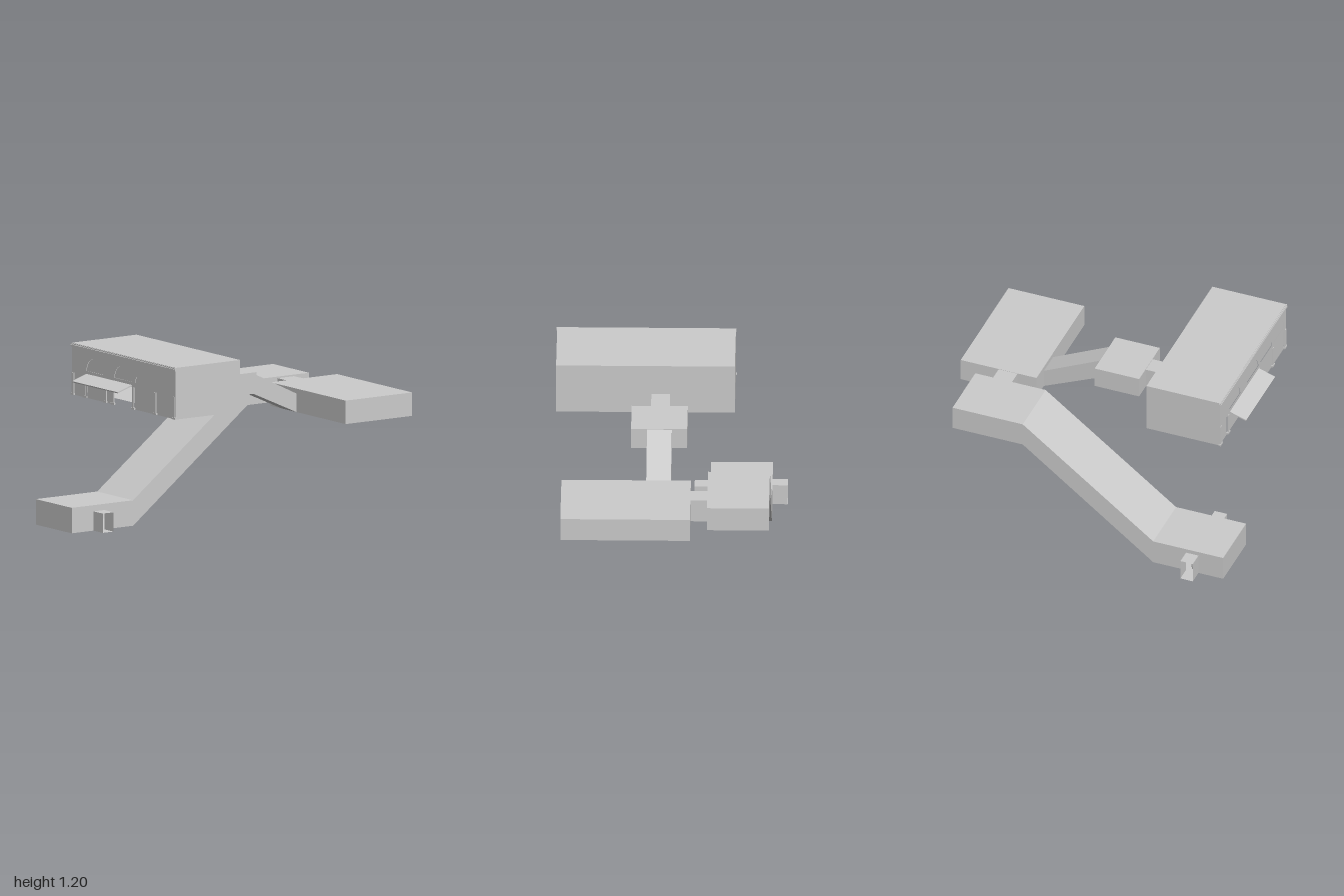
import * as THREE from 'three';

const mat = new THREE.MeshStandardMaterial({ color: 0xcccccc, side: THREE.DoubleSide });

function add(parent, name, geometry, x = 0, y = 0, z = 0) {
  const mesh = new THREE.Mesh(geometry, mat);
  mesh.name = name;
  mesh.position.set(x, y, z);
  parent.add(mesh);
  return mesh;
}

// Rectangle outline with doorways [from, to, top] notched into its lower edge
function wallShape(a0, a1, b0, b1, doors = []) {
  const s = new THREE.Shape();
  s.moveTo(a0, b0);
  for (const [d0, d1, top] of doors) {
    s.lineTo(d0, b0);
    s.lineTo(d0, top);
    s.lineTo(d1, top);
    s.lineTo(d1, b0);
  }
  s.lineTo(a1, b0);
  s.lineTo(a1, b1);
  s.lineTo(a0, b1);
  s.closePath();
  return s;
}

// Thin-walled room; a side set to false is left open, an array lists its doorways
function room(parent, name, [x0, x1], [y0, y1], [z0, z1], sides = {}) {
  const group = new THREE.Group();
  group.name = name;
  parent.add(group);
  const floorFront = sides.floorFront ?? z1;
  const slab = (b1) => new THREE.ShapeGeometry(wallShape(x0, x1, z0, b1)).rotateX(Math.PI / 2);
  add(group, 'floor', slab(floorFront), 0, y0, 0);
  add(group, 'ceiling', slab(z1), 0, y1, 0);
  for (const [side, z] of [['front', z1], ['back', z0]]) {
    if (sides[side] === false) continue;
    add(group, side + 'Wall', new THREE.ShapeGeometry(wallShape(x0, x1, y0, y1, sides[side])), 0, 0, z);
  }
  for (const [side, x] of [['left', x1], ['right', x0]]) {
    const geo = new THREE.ShapeGeometry(wallShape(z0, z1, y0, y1, sides[side])).rotateY(-Math.PI / 2);
    add(group, side + 'Wall', geo, x, 0, 0);
  }
  return group;
}

// Open-ended passage along z between two heights: [z, bottom, top] at each end
function passageZ(parent, name, x0, x1, a, b) {
  const ring = ([z, lo, hi]) => [[x0, lo, z], [x1, lo, z], [x1, hi, z], [x0, hi, z]];
  return addPassage(parent, name, ring(a), ring(b));
}

// Open-ended level passage along x
function passageX(parent, name, x0, x1, z0, z1, lo, hi) {
  const ring = (x) => [[x, lo, z1], [x, lo, z0], [x, hi, z0], [x, hi, z1]];
  return addPassage(parent, name, ring(x1), ring(x0));
}

function addPassage(parent, name, A, B) {
  const pos = [];
  for (let i = 0; i < 4; i++) {
    const j = (i + 1) % 4;
    for (const p of [A[i], B[i], A[j], A[j], B[i], B[j]]) pos.push(...p);
  }
  const geo = new THREE.BufferGeometry();
  geo.setAttribute('position', new THREE.Float32BufferAttribute(pos, 3));
  geo.computeVertexNormals();
  return add(parent, name, geo);
}

function archPath(Type, x, y, w, h) {
  const p = new Type();
  p.moveTo(x - w / 2, y);
  p.lineTo(x + w / 2, y);
  p.absellipse(x, y, w / 2, h, 0, Math.PI, false);
  p.closePath();
  return p;
}

// Arcaded front with openings, panes, pillars, cornice and awning
function buildFacade(parent) {
  const facade = new THREE.Group();
  facade.name = 'facade';
  parent.add(facade);
  const z = 0.885, base = 0.865;
  const bays = [[-0.385, -0.285], [-0.245, -0.055], [-0.03, 0.03], [0.055, 0.25], [0.28, 0.495], [0.515, 0.7]];
  const arches = [[-0.155, 0.19], [0.155, 0.195], [0.385, 0.195], [0.61, 0.175]];

  const wall = wallShape(-0.41, 0.73, base, 1.2, bays.map(([a, b]) => [a, b, 1.01]));
  for (const [x, w] of arches) wall.holes.push(archPath(THREE.Path, x, 1.04, w, 0.09));
  add(facade, 'frontWall', new THREE.ShapeGeometry(wall, 24), 0, 0, z);

  for (const [x, w] of arches) {
    add(facade, 'archedWindow', new THREE.ShapeGeometry(archPath(THREE.Shape, x, 1.04, w, 0.09), 24), 0, 0, z - 0.004);
  }
  bays.forEach(([a, b], i) => {
    if (i === 3) return; // the entrance stays open
    add(facade, 'bayPane', new THREE.ShapeGeometry(wallShape(a, b, base, 1.01)), 0, 0, z - 0.004);
  });

  for (const x of [-0.398, -0.265, -0.042, 0.042, 0.265, 0.505, 0.715]) {
    add(facade, 'pillar', new THREE.BoxGeometry(0.02, 0.145, 0.008), x, base + 0.0725, z);
    add(facade, 'pillarBase', new THREE.BoxGeometry(0.036, 0.012, 0.014), x, base + 0.006, z);
  }
  add(facade, 'cornice', new THREE.BoxGeometry(1.147, 0.012, 0.014), 0.16, 1.184, z + 0.002);
  add(facade, 'corniceLip', new THREE.BoxGeometry(1.147, 0.005, 0.01), 0.16, 1.195, z + 0.001);

  const awning = add(facade, 'awning', new THREE.BoxGeometry(0.5, 0.008, 0.118), 0.003, 1, 0.943);
  awning.rotation.x = Math.atan2(0.036, 0.112);
}

export function createModel() {
  const model = new THREE.Group();
  model.name = 'connectedRooms';

  // Lower room with its two side passages and a small marker inside
  room(model, 'lowerRoom', [-0.645, -0.25], [0, 0.165], [0.52, 1],
    { back: false, left: [[0.745, 0.83, 0.125]], right: [[0.745, 0.83, 0.138]] });
  passageX(model, 'lowerRightPassage', -0.742, -0.645, 0.745, 0.83, 0, 0.138);
  passageX(model, 'lowerLeftPassage', -0.25, -0.148, 0.745, 0.83, 0, 0.125);
  const marker = add(model, 'ovalMarker', new THREE.SphereGeometry(1, 16, 12), -0.63, 0.043, 0.792);
  marker.scale.set(0.008, 0.038, 0.016);

  // Long ramp up to the landing room
  passageZ(model, 'longRamp', -0.645, -0.25, [0.52, 0, 0.165], [-0.375, 0.69, 0.85]);
  room(model, 'landingRoom', [-0.645, -0.25], [0.69, 0.85], [-0.857, -0.375],
    { front: false, left: [[-0.74, -0.61, 0.84]] });

  // Rear room and its link to the landing
  passageX(model, 'linkPassage', -0.25, -0.143, -0.74, -0.61, 0.69, 0.84);
  room(model, 'rearRoom', [-0.143, 0.683], [0.69, 0.842], [-1, -0.48],
    { front: [[-0.015, 0.143, 0.81]], right: [[-0.74, -0.61, 0.835]] });

  // Short ramp, middle room and entry corridor
  passageZ(model, 'shortRamp', -0.015, 0.143, [-0.093, 0.865, 0.998], [-0.48, 0.69, 0.81]);
  room(model, 'middleRoom', [-0.113, 0.245], [0.865, 1.003], [-0.093, 0.212],
    { back: [[-0.015, 0.143, 0.998]], front: [[0.002, 0.122, 0.998]] });
  passageZ(model, 'entryCorridor', 0.002, 0.122, [0.38, 0.865, 0.998], [0.212, 0.865, 0.998]);

  // Main hall
  const hall = room(model, 'mainHall', [-0.41, 0.73], [0.865, 1.2], [0.38, 0.885],
    { front: false, back: [[0.002, 0.122, 0.998]], floorFront: 0.74 });
  buildFacade(hall);

  return model;
}
